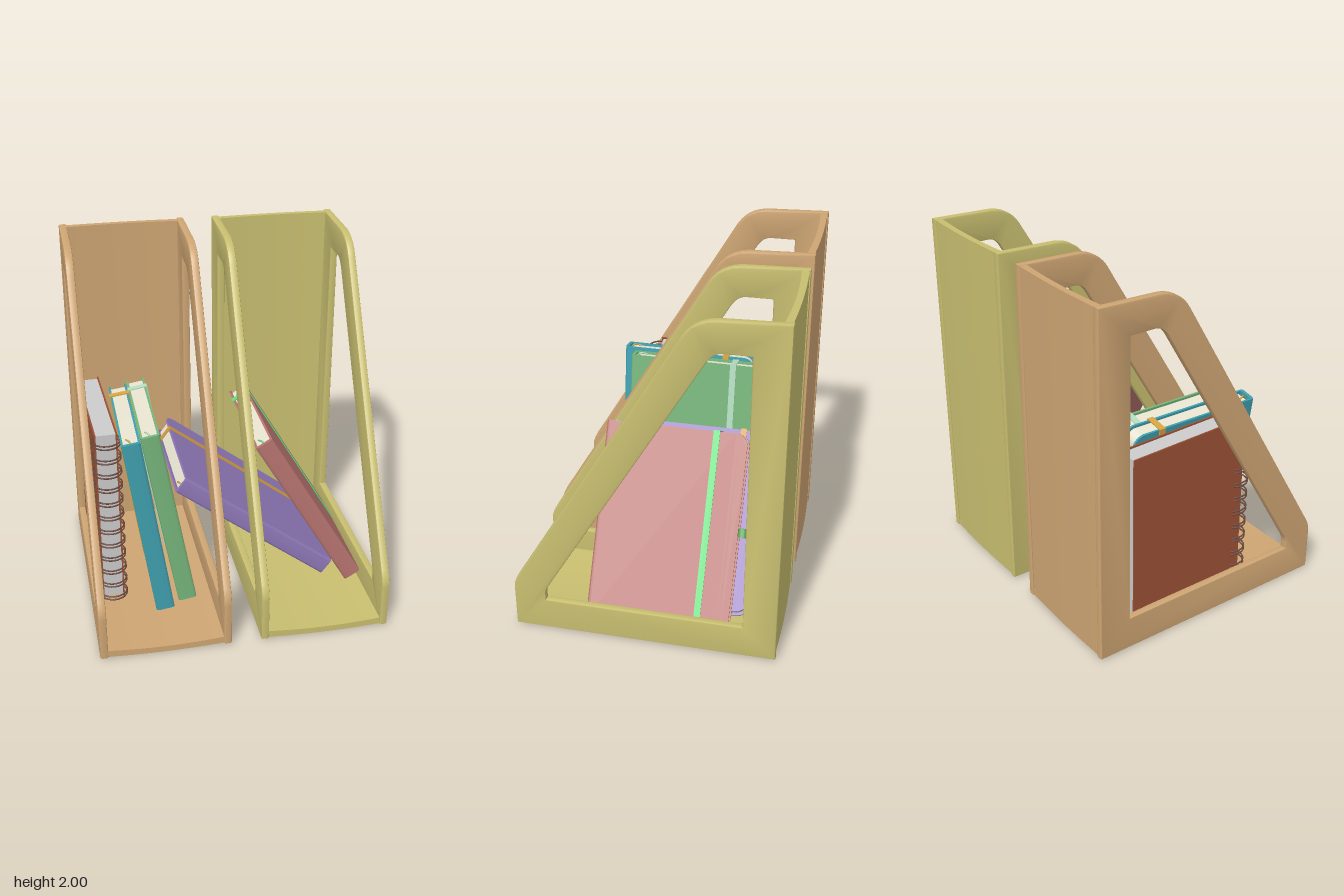
import * as THREE from 'three';
import { toCreasedNormals } from 'three/addons/utils/BufferGeometryUtils.js';

function add(parent, name, geometry, color) {
  const material = new THREE.MeshStandardMaterial({ color, side: THREE.DoubleSide });
  const mesh = new THREE.Mesh(geometry, material);
  mesh.name = name;
  parent.add(mesh);
  return mesh;
}

function extrude(shape, depth, bevel = 0) {
  const g = new THREE.ExtrudeGeometry(shape, {
    depth: depth - 2 * bevel, bevelEnabled: bevel > 0, bevelSize: bevel, bevelThickness: bevel,
    bevelOffset: -bevel, bevelSegments: 2, curveSegments: 10,
  });
  g.translate(0, 0, -depth / 2 + bevel);
  return toCreasedNormals(g, 0.6);
}

// Turns a shape drawn in (z, y) into a plate of the given thickness along x.
const plate = (shape, thickness, bevel) => extrude(shape, thickness, bevel).rotateY(-Math.PI / 2);

function rect(target, w, h) {
  target.moveTo(-w / 2, -h / 2);
  target.lineTo(w / 2, -h / 2);
  target.lineTo(w / 2, h / 2);
  target.lineTo(-w / 2, h / 2);
  target.closePath();
  return target;
}

// ---- Magazine holder ----
function sideShape() {
  const s = new THREE.Shape();
  s.moveTo(-0.735, 0.01);
  s.lineTo(0.735, 0.01);
  s.lineTo(0.735, 0.26);
  s.quadraticCurveTo(0.735, 0.3, 0.705, 0.35);
  s.lineTo(-0.2, 1.88);
  s.quadraticCurveTo(-0.26, 1.98, -0.38, 1.99);
  s.lineTo(-0.735, 2);
  s.closePath();
  const h = new THREE.Path();
  h.moveTo(0.555, 0.2);
  h.lineTo(-0.55, 0.2);
  h.lineTo(-0.55, 1.82);
  h.lineTo(-0.41, 1.82);
  h.quadraticCurveTo(-0.36, 1.82, -0.325, 1.76);
  h.lineTo(0.54, 0.29);
  h.quadraticCurveTo(0.555, 0.265, 0.555, 0.24);
  h.closePath();
  s.holes.push(h);
  return s;
}

// Slightly bowed panel, its outer face towards -y, running along z.
function bowedPanel(width, length) {
  const w = width / 2;
  const s = new THREE.Shape();
  s.moveTo(-w, 0.01);
  s.quadraticCurveTo(0, -0.01, w, 0.01);
  s.lineTo(w, 0.05);
  s.quadraticCurveTo(0, 0.02, -w, 0.05);
  s.closePath();
  return extrude(s, length);
}

function holder(name, x, color) {
  const g = new THREE.Group();
  g.name = name;
  for (const side of [-1, 1]) {
    add(g, side > 0 ? 'leftPanel' : 'rightPanel', plate(sideShape(), 0.044, 0.008), color)
      .position.x = side * 0.343;
  }
  add(g, 'basePanel', bowedPanel(0.65, 1.46), color).position.y = 0.005;
  add(g, 'backPanel', bowedPanel(0.65, 1.98).rotateX(Math.PI / 2), color)
    .position.set(0, 1.005, -0.738);
  g.position.x = x;
  return g;
}

// ---- Hardcover notebook, spine towards +z ----
function coverShape(d, h, r) {
  const s = new THREE.Shape();
  const z = d / 2, y = h / 2;
  s.moveTo(z - 0.02, -y);
  s.lineTo(z - 0.02, y);
  s.lineTo(-z + r, y);
  s.absarc(-z + r, y - r, r, Math.PI / 2, Math.PI, false);
  s.lineTo(-z, -y + r);
  s.absarc(-z + r, -y + r, r, Math.PI, Math.PI * 1.5, false);
  s.closePath();
  return s;
}

function book({ name, x, y, z, tilt, yaw = 0, color, band, loop }) {
  const T = 0.105, H = 1.09, D = 0.8, cover = 0.012;
  const g = new THREE.Group();
  g.name = name;
  for (const side of [-1, 1]) {
    add(g, side > 0 ? 'frontCover' : 'backCover', plate(coverShape(D, H, 0.07), cover), color)
      .position.x = side * (T - cover) / 2;
  }
  // Spine with rounded edges
  const s = new THREE.Shape();
  s.moveTo(-T / 2, 0.02);
  s.lineTo(-T / 2, 0.015);
  s.quadraticCurveTo(-T / 2, 0, -T / 2 + 0.02, 0);
  s.lineTo(T / 2 - 0.02, 0);
  s.quadraticCurveTo(T / 2, 0, T / 2, 0.015);
  s.lineTo(T / 2, 0.02);
  s.closePath();
  add(g, 'spine', extrude(s, H).rotateX(-Math.PI / 2).translate(0, 0, D / 2), color);
  add(g, 'pages', plate(coverShape(D - 0.03, H - 0.03, 0.06), T - 2 * cover), 0xe8e4d0);
  // Elastic strap wrapped around both covers
  const strap = rect(new THREE.Shape(), T + 0.012, H + 0.012);
  strap.holes.push(rect(new THREE.Path(), T, H));
  add(g, 'elasticStrap', extrude(strap, 0.036), band).position.z = -D / 2 + 0.175;
  // Bookmark ribbon and pen loop
  const curve = new THREE.CatmullRomCurve3([
    new THREE.Vector3(0, H / 2 - 0.02, D / 2 - 0.02),
    new THREE.Vector3(-0.005, H / 2, D / 2 - 0.04),
    new THREE.Vector3(-0.02, H / 2 - 0.005, D / 2 - 0.08),
  ]);
  add(g, 'bookmark', new THREE.TubeGeometry(curve, 10, 0.005, 6), band);
  const ring = rect(new THREE.Shape(), 0, 0);
  ring.curves.length = 0;
  ring.absellipse(0, 0, 0.02, 0.026, 0, Math.PI * 2, false);
  const inner = new THREE.Path();
  inner.absellipse(0, 0, 0.013, 0.019, 0, Math.PI * 2, true);
  ring.holes.push(inner);
  add(g, 'penLoop', extrude(ring, 0.05).rotateX(Math.PI / 2), loop)
    .position.set(-0.028, 0, -D / 2 - 0.016);
  g.position.set(x, y, z);
  g.rotation.set(0, yaw, tilt);
  return g;
}

// ---- Wire-bound notebook, wires towards +z ----
function wireNotebook() {
  const T = 0.118, H = 1.07, D = 0.75;
  const g = new THREE.Group();
  g.name = 'wireNotebook';
  for (const side of [-1, 1]) {
    add(g, side > 0 ? 'frontCover' : 'backCover', new THREE.BoxGeometry(0.008, H, D), 0x9c5236)
      .position.x = side * T / 2;
  }
  add(g, 'pages', new THREE.BoxGeometry(T - 0.008, H - 0.02, D - 0.02), 0xcccccc);
  const wire = new THREE.TorusGeometry(0.078, 0.0045, 6, 24).rotateX(Math.PI / 2);
  for (let i = 0; i < 12; i++) {
    for (const offset of [-0.01, 0.01]) {
      add(g, 'wireRing', wire, 0x6b4a40)
        .position.set(0, -0.49 + i * 0.089 + offset, D / 2 - 0.005);
    }
  }
  g.position.set(-0.702, 0.588, -0.13);
  g.rotation.y = 0.04;
  return g;
}

export function createModel() {
  const model = new THREE.Group();
  model.name = 'bookHolders';
  model.add(holder('tanHolder', -0.452, 0xcea573), holder('yellowHolder', 0.445, 0xc8be70));
  model.add(wireNotebook());
  const books = [
    { name: 'tealBook', x: -0.485, y: 0.602, z: 0.025, tilt: 0.148, yaw: -0.015,
      color: 0x3f9fae, band: 0xd9a441, loop: 0x3f9f90 },
    { name: 'greenBook', x: -0.36, y: 0.605, z: -0.04, tilt: 0.173, yaw: -0.015,
      color: 0x76b47a, band: 0xb4dcc0, loop: 0x4f9a5c },
    { name: 'purpleBook', x: 0.152, y: 0.435, z: -0.142, tilt: 0.92,
      color: 0x8f78b8, band: 0xd09a40, loop: 0x6a9a50 },
    { name: 'redBook', x: 0.447, y: 0.555, z: -0.06, tilt: 0.534,
      color: 0xb87570, band: 0x5fdc7a, loop: 0x58a050 },
  ];
  for (const b of books) model.add(book(b));
  return model;
}
